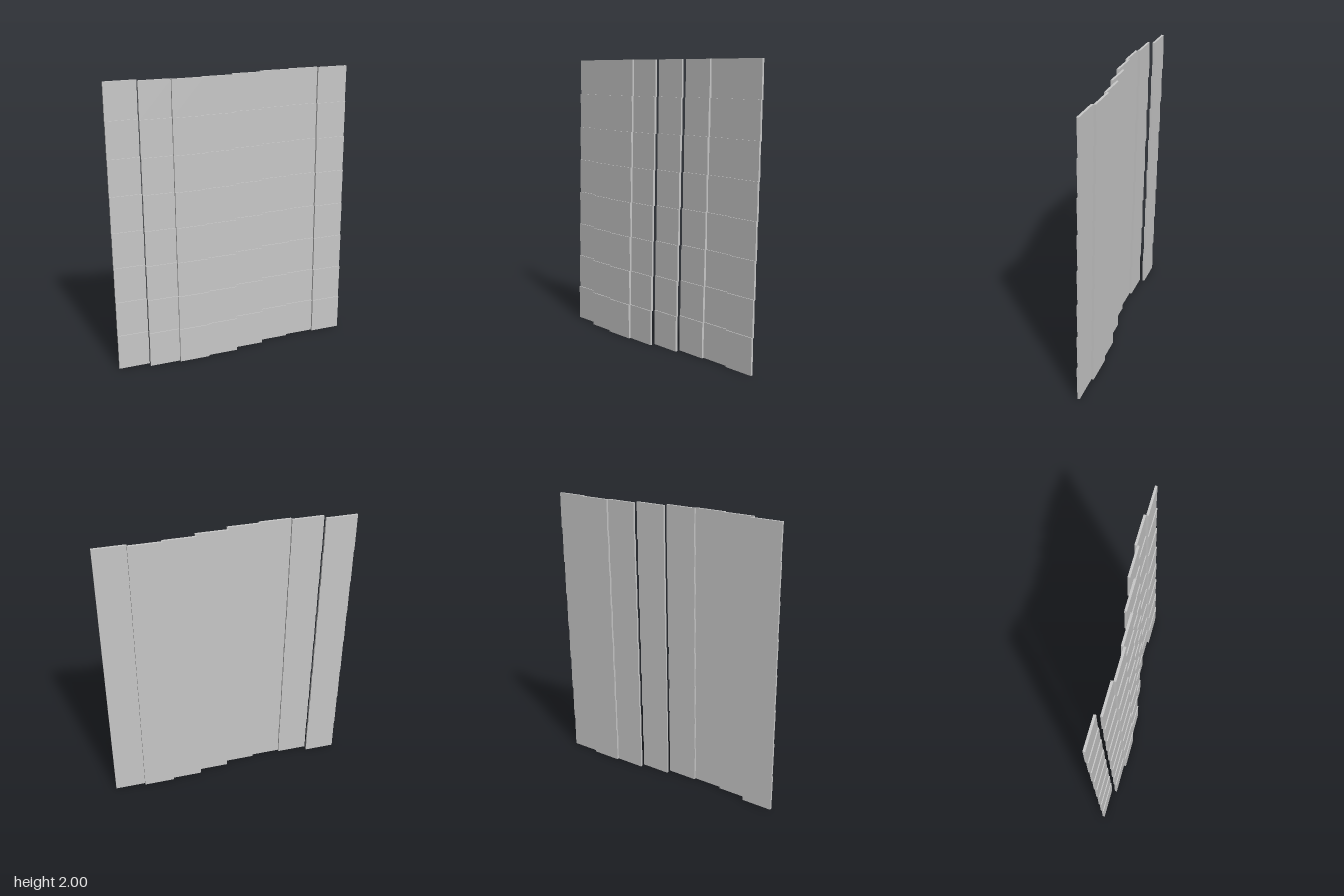
import * as THREE from 'three';

// Rippled curtain of flat square-edged panels, stepped in depth
export function createModel() {
  const COLS = 8, ROWS = 8;
  const WIDTH = 0.217, HEIGHT = 0.252, THICKNESS = 0.016;
  const PITCH_X = 0.215;                       // panels overlap slightly
  const PITCH_Y = (2 - HEIGHT) / (ROWS - 1);
  const WAVE = 0.0545; // depth of the ripple across the columns
  const LEAN = 0.0068; // backward step of each higher row

  const grey = new THREE.MeshStandardMaterial({ color: 0xc8c8c8 });
  grey.name = 'lightGrey';
  const panelGeometry = new THREE.BoxGeometry(WIDTH, HEIGHT, THICKNESS);

  const model = new THREE.Group();
  model.name = 'rippledCurtain';

  for (let c = 0; c < COLS; c++) {
    // One vertical strip per column, following a full sine wave
    const strip = new THREE.Group();
    strip.name = `strip${c + 1}`;
    strip.position.set(
      (c - (COLS - 1) / 2) * PITCH_X,
      0,
      WAVE * Math.sin((c / COLS) * Math.PI * 2)
    );
    for (let r = 0; r < ROWS; r++) {
      const panel = new THREE.Mesh(panelGeometry, grey);
      panel.name = `panel${c + 1}_${r + 1}`;
      panel.position.set(0, HEIGHT / 2 + r * PITCH_Y, ((ROWS - 1) / 2 - r) * LEAN);
      strip.add(panel);
    }
    model.add(strip);
  }
  return model;
}
